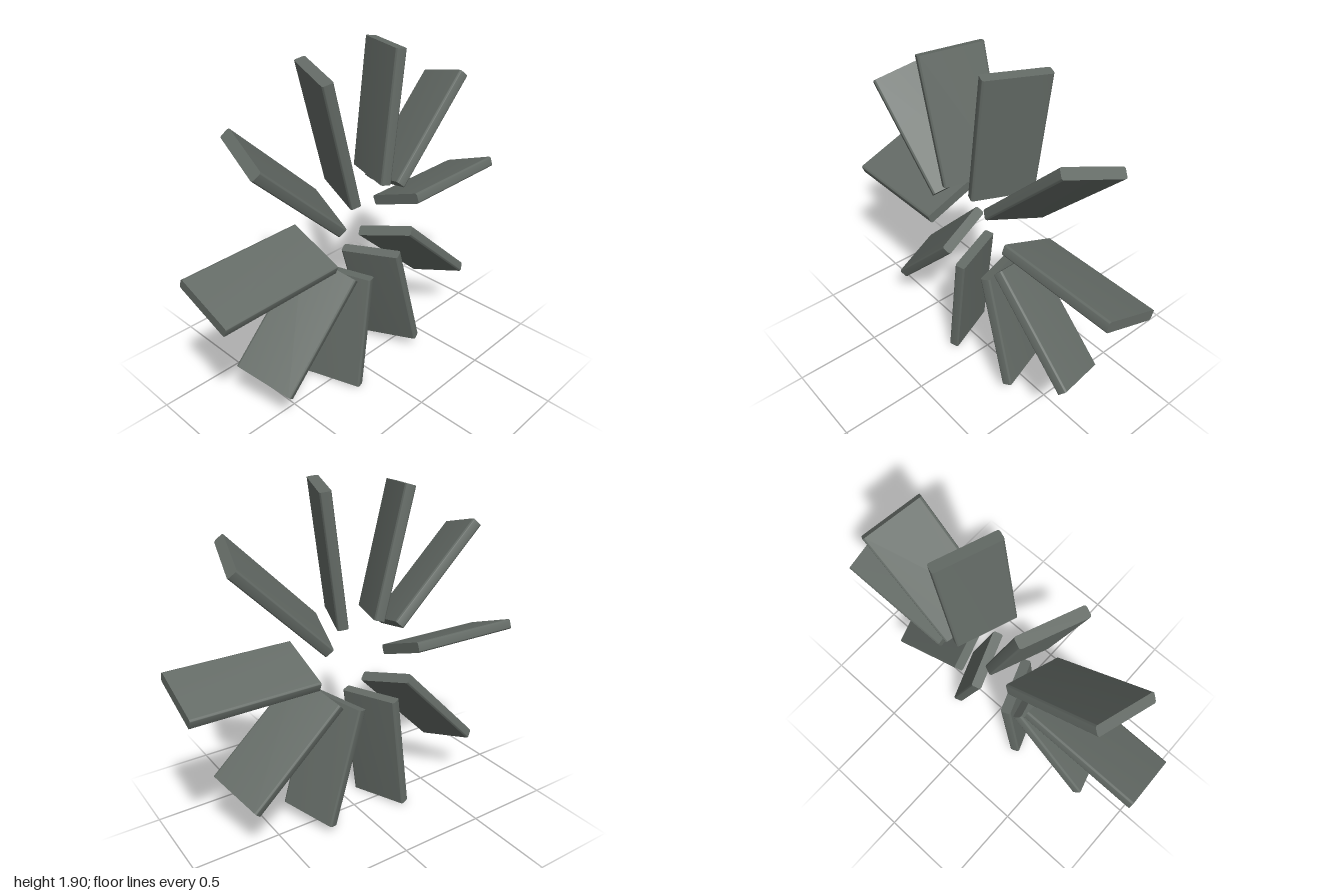
import * as THREE from 'three';
import { toCreasedNormals } from 'three/addons/utils/BufferGeometryUtils.js';

const LENGTH = 0.69, WIDTH = 0.342, THICK = 0.058, ROUND = 0.012;
const PITCH = THREE.MathUtils.degToRad(21);

// Blade centres (z, y) and the angle each one points outwards, in degrees from the back
const BLADES = [
  [-0.652, 0.975, 0], [-0.452, 1.37, 45], [-0.155, 1.54, 82.5], [0.197, 1.508, 104.7],
  [0.472, 1.335, 136.5], [0.655, 0.915, 181], [0.45, 0.522, 226], [0.152, 0.35, 263],
  [-0.203, 0.393, 286], [-0.477, 0.575, 317.5],
];

// Flat bar with rounded long edges, running along z
function bladeGeometry() {
  const w = WIDTH / 2, h = THICK / 2, r = ROUND;
  const s = new THREE.Shape();
  s.moveTo(-w + r, -h);
  s.lineTo(w - r, -h);
  s.absarc(w - r, -h + r, r, -Math.PI / 2, 0);
  s.lineTo(w, h - r);
  s.absarc(w - r, h - r, r, 0, Math.PI / 2);
  s.lineTo(-w + r, h);
  s.absarc(-w + r, h - r, r, Math.PI / 2, Math.PI);
  s.lineTo(-w, -h + r);
  s.absarc(-w + r, -h + r, r, Math.PI, Math.PI * 1.5);
  const g = new THREE.ExtrudeGeometry(s, { depth: LENGTH, bevelEnabled: false, curveSegments: 4 });
  g.translate(0, 0, -LENGTH / 2);
  return toCreasedNormals(g, Math.PI / 4);
}

export function createModel() {
  const model = new THREE.Group();
  model.name = 'bladeRing';
  const grey = new THREE.MeshStandardMaterial({ color: 0x646b66 });
  grey.name = 'dark grey';
  const geometry = bladeGeometry();

  // Ring of pitched blades around the x axis
  BLADES.forEach(([z, y, angle], i) => {
    const blade = new THREE.Mesh(geometry, grey);
    blade.name = `blade${i + 1}`;
    blade.position.set(0, y, z);
    blade.rotation.set(THREE.MathUtils.degToRad(angle - 180), 0, -PITCH);
    model.add(blade);
  });
  return model;
}
